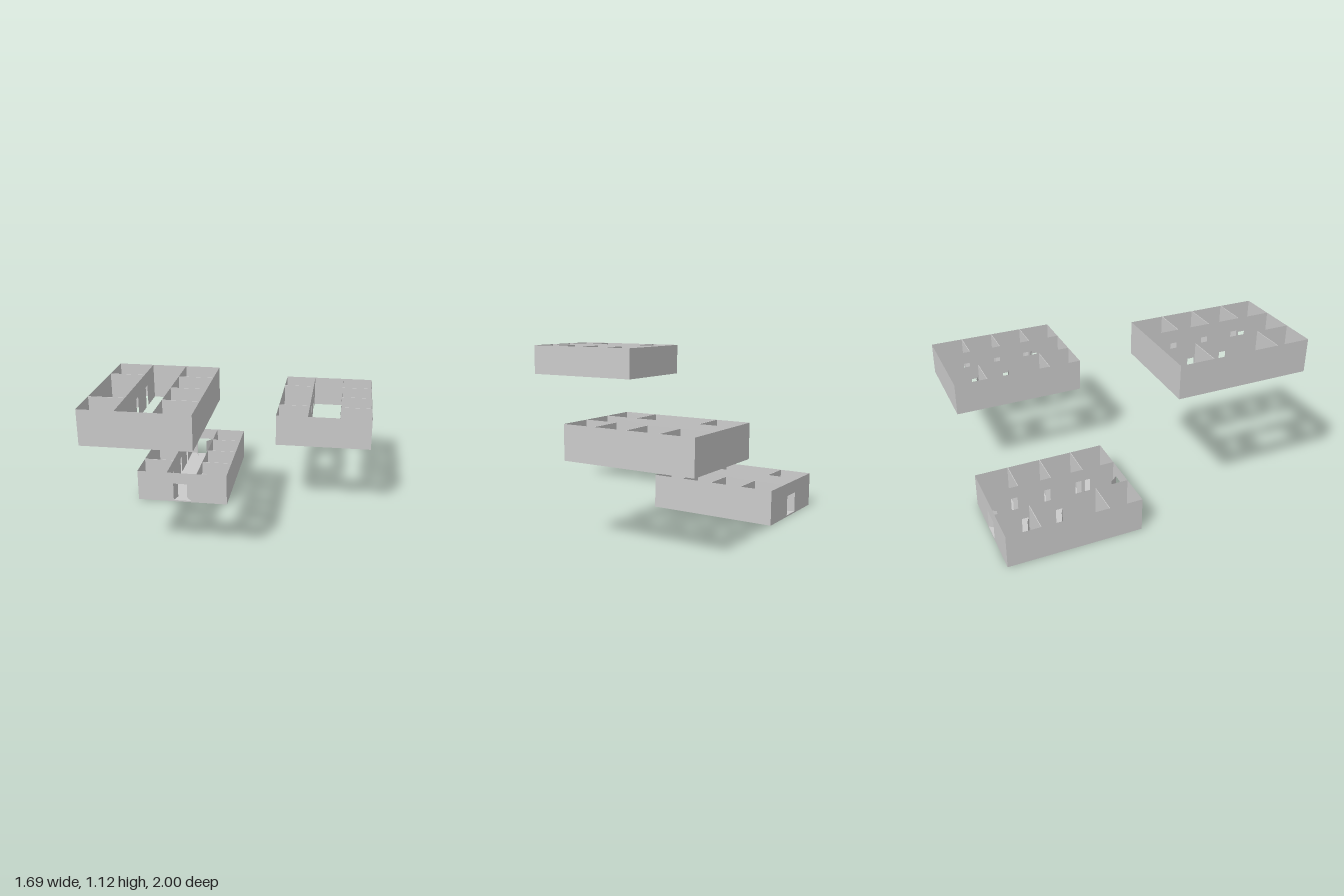
import * as THREE from 'three';

const U = 2 / 9;              // grid module: one room width and one storey height
const W = 3 * U, D = 4 * U, H = U;
const DOOR_H = 0.135, DOOR_W = 0.044, GATE_W = 0.133, BASE = 0.01;

const material = new THREE.MeshStandardMaterial({
  color: 0xcccccc, side: THREE.DoubleSide, flatShading: true,
});

function add(parent, name, geometry, x = 0, y = 0, z = 0, turn = 0) {
  const mesh = new THREE.Mesh(geometry, material);
  mesh.name = name;
  mesh.position.set(x, y, z);
  mesh.rotation.y = turn;
  parent.add(mesh);
  return mesh;
}

// Thin wall centred on its length, with doorways [from, to] cut up from the floor
function wallGeometry(length, doorways = []) {
  const shape = new THREE.Shape();
  shape.moveTo(-length / 2, 0);
  for (const [a, b] of doorways) {
    shape.lineTo(a, 0);
    shape.lineTo(a, DOOR_H);
    shape.lineTo(b, DOOR_H);
    shape.lineTo(b, 0);
  }
  shape.lineTo(length / 2, 0);
  shape.lineTo(length / 2, H);
  shape.lineTo(-length / 2, H);
  return new THREE.ShapeGeometry(shape);
}

// Open door leaf from its hinge (x, z) towards the offset (dx, dz)
function addLeaf(parent, name, x, z, dx, dz) {
  const w = Math.hypot(dx, dz);
  const geometry = new THREE.PlaneGeometry(w, DOOR_H).translate(w / 2, DOOR_H / 2, 0);
  add(parent, name, geometry, x, 0, z, Math.atan2(-dz, dx));
}

// Room doors as [hinge z, swing direction along z]
const rightSideDoors = [[-U - 0.008, -1], [-0.006, -1], [U + 0.008, 1]];
const leftSideDoors = [[-U - 0.008, -1], [-0.006, -1], [U - 0.008, -1], [U + 0.008, 1]];

function createStorey(name, hasEntrances) {
  const storey = new THREE.Group();
  storey.name = name;

  // Outer walls, with double-leaf entrances at both ends where needed
  const gate = hasEntrances ? [[-GATE_W / 2, GATE_W / 2]] : [];
  for (const s of [-1, 1]) {
    add(storey, s > 0 ? 'frontWall' : 'backWall', wallGeometry(W, gate), 0, 0, s * D / 2);
    add(storey, 'sideWall', wallGeometry(D), s * W / 2, 0, 0, -Math.PI / 2);
    if (hasEntrances) {
      addLeaf(storey, 'entranceLeaf', -GATE_W / 2, s * D / 2, 0.02, -s * 0.063);
      addLeaf(storey, 'entranceLeaf', GATE_W / 2, s * D / 2, -0.042, -s * 0.052);
    }
  }

  // Corridor walls, room doors and partitions on each side
  for (const s of [-1, 1]) {
    const doors = s < 0 ? rightSideDoors : leftSideDoors;
    const doorways = doors
      .map(([z, dir]) => [Math.min(z, z + dir * DOOR_W), Math.max(z, z + dir * DOOR_W)]);
    add(storey, 'corridorWall', wallGeometry(D, doorways), s * U / 2, 0, 0, -Math.PI / 2);
    for (const [z, dir] of doors) {
      addLeaf(storey, 'roomDoor', s * U / 2, z, s * 0.039, dir * 0.02);
    }
    for (const z of s < 0 ? [-U, U] : [-U, 0, U]) {
      add(storey, 'partition', new THREE.BoxGeometry(U, H, 0.004), s * U, H / 2, z);
    }
  }
  return storey;
}

export function createModel() {
  const model = new THREE.Group();
  model.name = 'buildingStoreys';
  const cx = 0.511, cz = 0.556;

  // Ground storey stands on a thin slab
  const ground = createStorey('groundStorey', true);
  ground.position.set(-cx, BASE, -cz);
  add(ground, 'floorSlab', new THREE.BoxGeometry(W, BASE, D), 0, -BASE / 2, 0);

  const middle = createStorey('middleStorey', false);
  middle.position.set(cx, 0.5, -cz);

  const upper = createStorey('upperStorey', false);
  upper.position.set(-cx, 0.9, cz);

  model.add(ground, middle, upper);
  return model;
}
